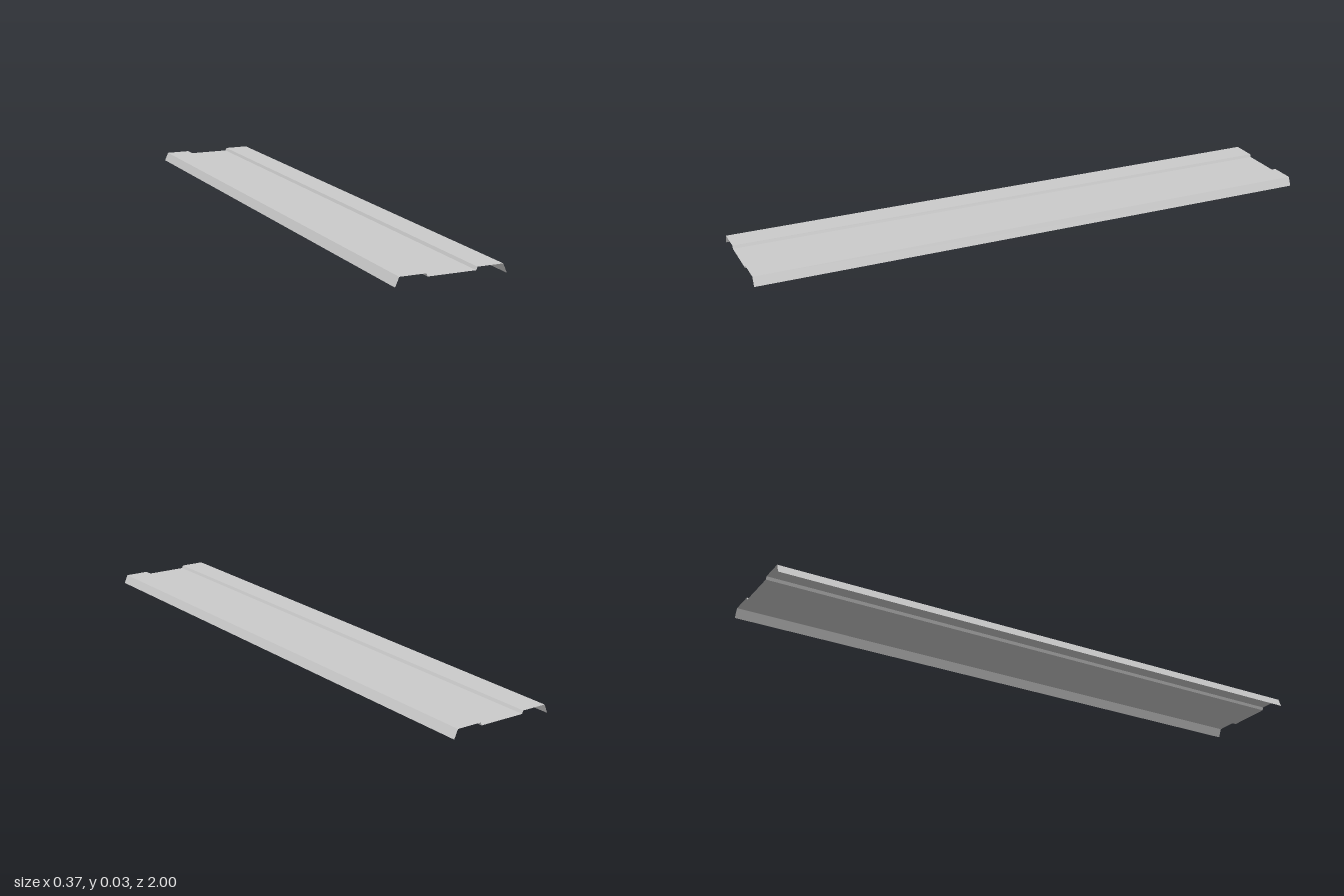
import * as THREE from 'three';

const HALF_LENGTH = 1;

// Half cross-section of the folded sheet, from the centre panel outwards
const profile = [
  { x: 0.08, y: 0.02 },
  { x: 0.084, y: 0.03, name: 'step' },
  { x: 0.171, y: 0.03, name: 'shoulder' },
  { x: 0.184, y: 0, name: 'flange' },
];

const material = new THREE.MeshStandardMaterial({
  color: 0xcccccc, flatShading: true, side: THREE.DoubleSide,
});

// Flat strip running the full length, from a (lower x) to b (higher x), facing up
function strip(name, a, b) {
  const L = HALF_LENGTH;
  const geometry = new THREE.BufferGeometry();
  geometry.setAttribute('position', new THREE.Float32BufferAttribute([
    a.x, a.y, L, b.x, b.y, L, b.x, b.y, -L, a.x, a.y, -L,
  ], 3));
  geometry.setIndex([0, 1, 2, 0, 2, 3]);
  geometry.computeVertexNormals();
  const mesh = new THREE.Mesh(geometry, material);
  mesh.name = name;
  return mesh;
}

const mirror = (p) => ({ x: -p.x, y: p.y });

export function createModel() {
  const group = new THREE.Group();
  group.name = 'foldedSheetPanel';

  // Recessed centre panel
  group.add(strip('centrePanel', mirror(profile[0]), profile[0]));

  // Steps, raised shoulders and folded-down flanges on both sides
  for (let i = 1; i < profile.length; i++) {
    const inner = profile[i - 1], outer = profile[i];
    group.add(strip(outer.name + 'Left', inner, outer));
    group.add(strip(outer.name + 'Right', mirror(outer), mirror(inner)));
  }
  return group;
}
